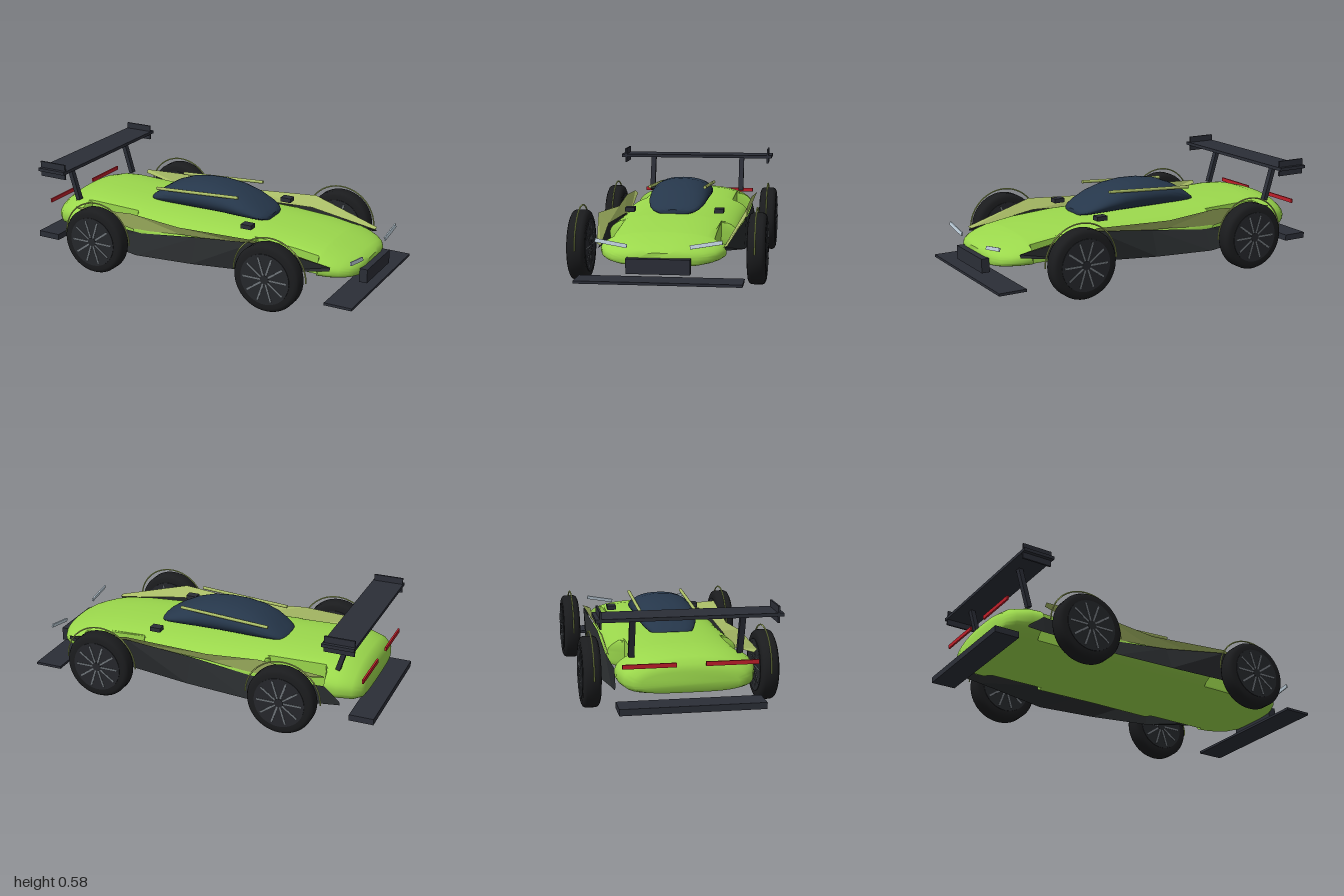
import * as THREE from 'three';
import { mergeVertices, toCreasedNormals } from 'three/addons/utils/BufferGeometryUtils.js';

const mat = (color, extra = {}) => new THREE.MeshStandardMaterial({ color, ...extra });
const GREEN = mat(0x9bd84c), TRIM = mat(0xa9bc66, { side: THREE.DoubleSide });
const DARK = mat(0x2b2e37), SKIRT = mat(0x272a2c, { side: THREE.DoubleSide });
const RUBBER = mat(0x1b1c1e), RIM = mat(0x25272b), SPOKE = mat(0x6d7378);
const GLASS = mat(0x26374b), LAMP = mat(0xbfd0dc), RED = mat(0xc01f2a);

function add(parent, name, geometry, material, x = 0, y = 0, z = 0) {
  const mesh = new THREE.Mesh(geometry, material);
  mesh.name = name;
  mesh.position.set(x, y, z);
  parent.add(mesh);
  return mesh;
}
const box = (parent, name, size, material, pos) =>
  add(parent, name, new THREE.BoxGeometry(...size), material, ...pos);

// Piecewise linear lookup in rows sorted by their first value
function sample(rows, x) {
  let i = 0;
  while (i < rows.length - 2 && x > rows[i + 1][0]) i++;
  const a = rows[i], b = rows[i + 1];
  const t = THREE.MathUtils.clamp((x - a[0]) / (b[0] - a[0]), 0, 1);
  return a.map((v, k) => v + (b[k] - v) * t);
}

// Closed skin along x; ring(i, angle) gives [x, y, z], ends are capped
function loft(count, seg, ring) {
  const pos = [], idx = [];
  for (let i = 0; i < count; i++)
    for (let j = 0; j < seg; j++) pos.push(...ring(i, (j / seg) * Math.PI * 2));
  for (let i = 0; i < count - 1; i++)
    for (let j = 0; j < seg; j++) {
      const a = i * seg + j, b = i * seg + (j + 1) % seg;
      idx.push(a, a + seg, b, b, a + seg, b + seg);
    }
  for (let j = 1; j < seg - 1; j++) {
    const e = (count - 1) * seg;
    idx.push(0, j, j + 1, e, e + j + 1, e + j);
  }
  const g = new THREE.BufferGeometry();
  g.setAttribute('position', new THREE.Float32BufferAttribute(pos, 3));
  g.setIndex(idx);
  return toCreasedNormals(mergeVertices(g, 1e-5), 0.7);
}
const power = (v, p) => Math.sign(v) * Math.abs(v) ** p;

function body() {
  // x, half width, bottom, top
  const rows = [
    [-0.91, 0.25, 0.175, 0.27], [-0.9, 0.29, 0.16, 0.305], [-0.86, 0.33, 0.15, 0.335],
    [-0.78, 0.355, 0.15, 0.355], [-0.68, 0.36, 0.15, 0.362], [-0.36, 0.355, 0.15, 0.352],
    [0, 0.345, 0.15, 0.338], [0.36, 0.35, 0.15, 0.333], [0.6, 0.34, 0.15, 0.318],
    [0.75, 0.325, 0.15, 0.295], [0.81, 0.308, 0.15, 0.279], [0.86, 0.28, 0.15, 0.263],
    [0.9, 0.24, 0.15, 0.25], [0.925, 0.19, 0.152, 0.238], [0.94, 0.125, 0.16, 0.222]];
  // Wheel cut-outs limit the width
  const limit = [[-1, 1], [-0.715, 0.37], [-0.695, 0.26], [-0.38, 0.26], [-0.355, 0.37],
    [0.355, 0.37], [0.38, 0.26], [0.74, 0.26], [0.76, 0.37], [1, 1]];
  const xs = [...new Set([...rows, ...limit.slice(1, -1)].map(r => r[0]))].sort((a, b) => a - b);
  return loft(xs.length, 64, (i, a) => {
    const [x, w, bottom, top] = sample(rows, xs[i]);
    const lim = sample(limit, x)[1], mid = bottom + (top - bottom) * 0.42;
    const s = Math.sin(a), h = s > 0 ? top - mid : mid - bottom;
    const z = THREE.MathUtils.clamp(w * power(Math.cos(a), s > 0 ? 0.85 : 0.6), -lim, lim);
    return [x, mid + h * power(s, s > 0 ? 0.95 : 0.6), z];
  });
}

function canopy() {
  // x, half width, top
  const rows = [[-0.4, 0.06, 0.355], [-0.393, 0.085, 0.362], [-0.375, 0.108, 0.374], [-0.34, 0.128, 0.4],
    [-0.28, 0.148, 0.437], [-0.2, 0.159, 0.467], [-0.1, 0.163, 0.483], [0, 0.163, 0.486],
    [0.1, 0.162, 0.474], [0.2, 0.157, 0.442], [0.28, 0.14, 0.402], [0.32, 0.12, 0.377],
    [0.343, 0.092, 0.362], [0.35, 0.06, 0.355]];
  return loft(rows.length, 40, (i, a) => {
    const [x, w, top] = rows[i], mid = (top + 0.325) / 2;
    return [x, mid + (top - mid) * Math.sin(a), w * power(Math.cos(a), 0.85)];
  });
}

// Open strip between two edges; each row is x, y1, z1, y2, z2
function ribbon(rows, side) {
  const pos = [], idx = [];
  rows.forEach(([x, y1, z1, y2, z2], i) => {
    pos.push(x, y1, z1 * side, x, y2, z2 * side);
    const k = i * 2;
    if (i) idx.push(k - 2, k - 1, k, k - 1, k + 1, k);
  });
  const g = new THREE.BufferGeometry();
  g.setAttribute('position', new THREE.Float32BufferAttribute(pos, 3));
  g.setIndex(idx);
  const flat = g.toNonIndexed();
  flat.computeVertexNormals();
  return flat;
}

function wheel() {
  const g = new THREE.Group();
  g.name = 'wheel';
  const r = 0.187, w = 0.047;
  const profile = [[0.135, -w], [0.165, -w], [0.18, -w + 0.007], [r, -w + 0.02],
    [r, w - 0.02], [0.18, w - 0.007], [0.165, w], [0.135, w]].map(p => new THREE.Vector2(...p));
  add(g, 'tyre', toCreasedNormals(new THREE.LatheGeometry(profile, 48), 0.7), RUBBER).rotation.x = Math.PI / 2;
  add(g, 'rim', new THREE.CylinderGeometry(0.14, 0.14, 0.1, 40), RIM).rotation.x = Math.PI / 2;
  add(g, 'hub', new THREE.CylinderGeometry(0.025, 0.025, 0.106, 20), RIM).rotation.x = Math.PI / 2;
  for (let i = 0; i < 10; i++) {
    const a = (i / 10) * Math.PI * 2;
    box(g, 'spoke', [0.1, 0.009, 0.104], SPOKE, [0.075 * Math.cos(a), 0.075 * Math.sin(a), 0]).rotation.z = a;
  }
  return g;
}

export function createModel() {
  const car = new THREE.Group();
  car.name = 'raceCar';
  add(car, 'body', body(), GREEN);
  add(car, 'canopy', canopy(), GLASS);

  // Front and rear aero
  box(car, 'frontSplitter', [0.155, 0.014, 0.84], DARK, [0.922, 0.078, 0]);
  box(car, 'noseGrille', [0.045, 0.076, 0.32], DARK, [0.952, 0.159, 0]);
  box(car, 'rearDiffuser', [0.135, 0.034, 0.744], DARK, [-0.932, 0.102, 0]);
  box(car, 'wing', [0.175, 0.018, 0.945], DARK, [-0.818, 0.541, 0]);

  for (const s of [1, -1]) {
    box(car, 'wingEndPlate', [0.165, 0.086, 0.01], DARK, [-0.82, 0.542, s * 0.447]);
    box(car, 'wingPylon', [0.025, 0.225, 0.03], DARK, [-0.8, 0.433, s * 0.28]).rotation.z = 0.29;
    const lamp = box(car, 'headlight', [0.008, 0.02, 0.162], LAMP, [0.943, 0.268, s * 0.237]);
    lamp.rotation.set(-s * 0.17, 0, 0.2);
    box(car, 'tailLight', [0.01, 0.022, 0.27], RED, [-0.923, 0.311, s * 0.21]);
    box(car, 'mirror', [0.062, 0.024, 0.05], DARK, [0.31, 0.35, s * 0.243]);

    // Rail along the canopy
    const rail = add(car, 'canopyRail', new THREE.CylinderGeometry(0.009, 0.009, 0.52, 12), TRIM, -0.06, 0.445, s * 0.152);
    rail.rotation.z = -Math.PI / 2 + 0.06;

    // Side strip above, flared skirt below
    add(car, 'sideStrip', ribbon([[-0.72, 0.305, 0.368, 0.322, 0.385], [-0.35, 0.24, 0.352, 0.342, 0.375],
      [-0.05, 0.265, 0.345, 0.315, 0.37], [0.42, 0.285, 0.345, 0.342, 0.4], [0.83, 0.235, 0.31, 0.245, 0.33]], s), TRIM);
    add(car, 'sideSkirt', ribbon([[-0.81, 0.175, 0.365, 0.162, 0.37], [-0.72, 0.25, 0.358, 0.155, 0.375],
      [-0.3, 0.228, 0.355, 0.12, 0.42], [0.05, 0.272, 0.356, 0.135, 0.41],
      [0.42, 0.325, 0.396, 0.16, 0.388], [0.83, 0.238, 0.315, 0.222, 0.325]], s), SKIRT);

    // Wheels with thin arch hoops
    for (const x of [-0.525, 0.55]) {
      const w = wheel();
      w.position.set(x, 0.188, s * 0.467);
      car.add(w);
      add(car, 'wheelArch', new THREE.TorusGeometry(0.21, 0.004, 8, 40, Math.PI), TRIM, x, 0.19, s * 0.462);
    }
  }
  return car;
}
